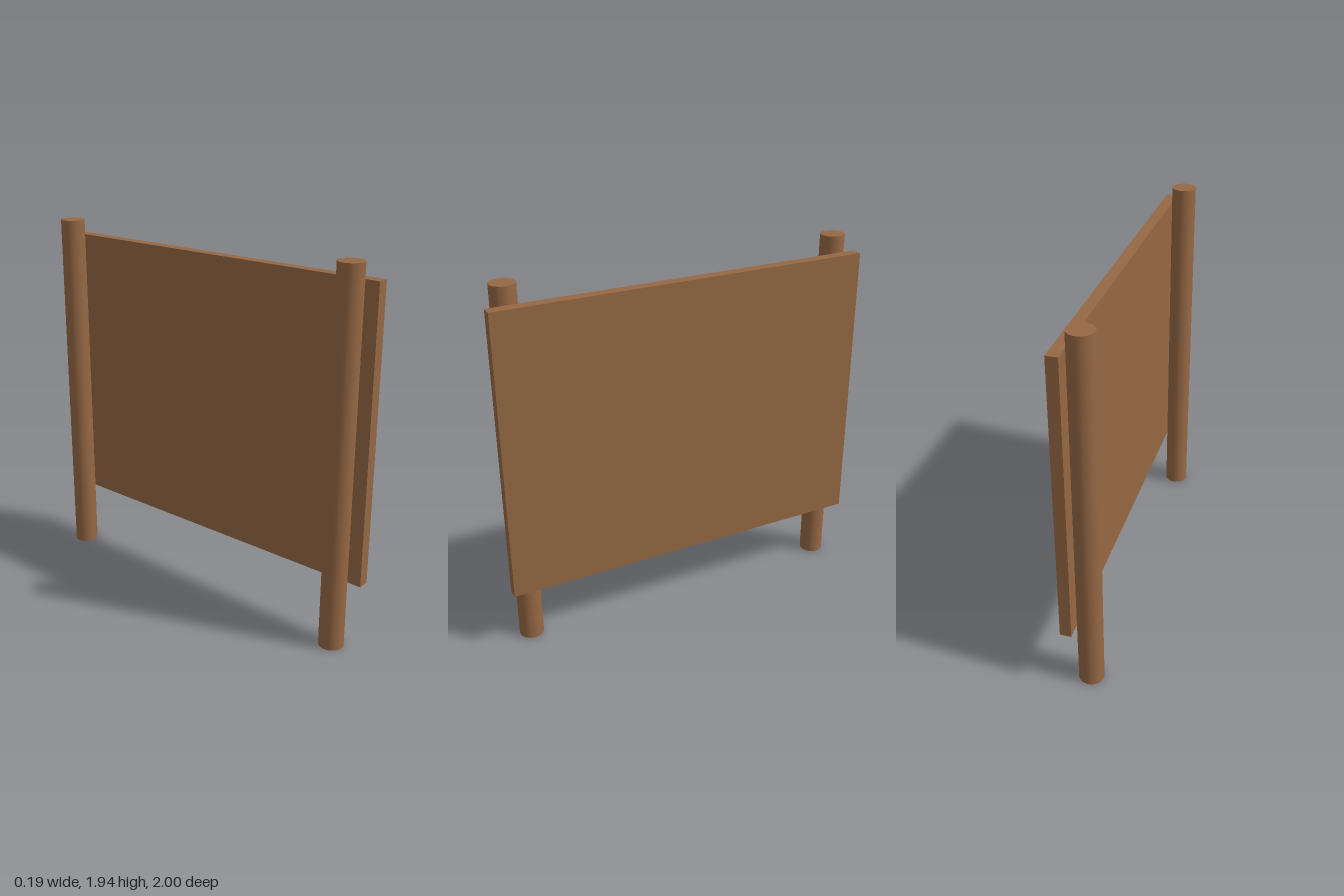
import * as THREE from 'three';

export function createModel() {
  const model = new THREE.Group();
  model.name = 'signBoard';

  const wood = new THREE.MeshStandardMaterial({ color: 0x966844 });
  wood.name = 'brown wood';

  // Flat board fixed to the outer side of the posts
  const board = new THREE.Mesh(new THREE.BoxGeometry(0.058, 1.515, 2), wood);
  board.name = 'board';
  board.position.set(0.064, 1.0925, 0);
  model.add(board);

  // Two round posts standing on the ground
  const postHeight = 1.937;
  const postGeometry = new THREE.CylinderGeometry(0.064, 0.064, postHeight, 48);
  for (const [name, z] of [['frontPost', 0.89], ['backPost', -0.904]]) {
    const post = new THREE.Mesh(postGeometry, wood);
    post.name = name;
    post.position.set(-0.029, postHeight / 2, z);
    model.add(post);
  }

  return model;
}
